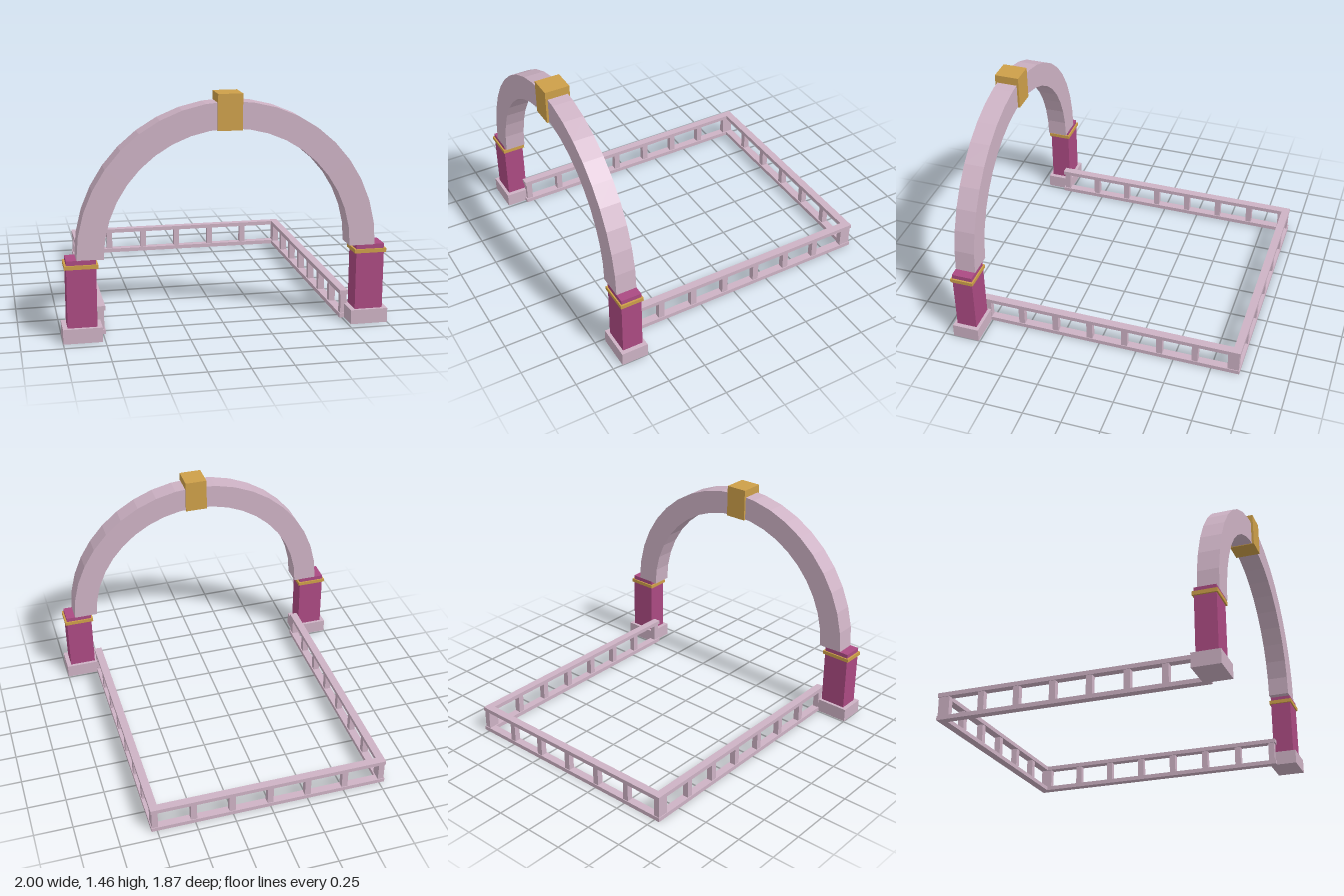
import * as THREE from 'three';

export function createModel() {
  const group = new THREE.Group();
  const mat = (name, color) => {
    const m = new THREE.MeshStandardMaterial({ color });
    m.name = name;
    return m;
  };
  const mauve = mat('pale mauve', 0xcdb2c4);
  const magenta = mat('magenta', 0xab4a82);
  const gold = mat('gold', 0xcd9f49);

  // Box given by its minimum and maximum corners
  const box = (name, material, [x0, y0, z0], [x1, y1, z1], parent = group) => {
    const mesh = new THREE.Mesh(new THREE.BoxGeometry(x1 - x0, y1 - y0, z1 - z0), material);
    mesh.position.set((x0 + x1) / 2, (y0 + y1) / 2, (z0 + z1) / 2);
    mesh.name = name;
    parent.add(mesh);
  };

  // Pillars: plinth, shaft and gold band
  for (const [side, s] of [['left', 1], ['right', -1]]) {
    const pillar = new THREE.Group();
    pillar.name = side + 'Pillar';
    pillar.position.set(s * 0.883, 0, 0.847);
    box('plinth', mauve, [-0.117, 0, -0.088], [0.117, 0.09, 0.088], pillar);
    box('shaft', magenta, [-0.088, 0.09, -0.067], [0.088, 0.502, 0.067], pillar);
    box('band', gold, [-0.1, 0.45, -0.076], [0.1, 0.474, 0.076], pillar);
    group.add(pillar);
  }

  // Faceted half-ring arch
  const shape = new THREE.Shape();
  shape.absarc(0, 0, 0.91, 0, Math.PI, false);
  shape.absarc(0, 0, 0.75, Math.PI, 0, true);
  const arch = new THREE.Mesh(
    new THREE.ExtrudeGeometry(shape, { depth: 0.134, bevelEnabled: false, curveSegments: 10 }), mauve);
  arch.position.set(0, 0.5, 0.78);
  arch.name = 'arch';
  group.add(arch);
  box('keystone', gold, [-0.074, 1.24, 0.767], [0.074, 1.457, 0.928]);

  // Low railing on three sides: bottom and top rails
  const fence = new THREE.Group();
  fence.name = 'railing';
  group.add(fence);
  for (const [label, y0, y1] of [['bottomRail', 0, 0.027], ['topRail', 0.15, 0.177]]) {
    box(label + 'Back', mauve, [-0.787, y0, -0.935], [0.787, y1, -0.883], fence);
    box(label + 'Left', mauve, [0.735, y0, -0.883], [0.787, y1, 0.805], fence);
    box(label + 'Right', mauve, [-0.787, y0, -0.883], [-0.735, y1, 0.805], fence);
  }

  // Posts between the rails
  const post = (x, z) => box('post', mauve, [x - 0.02, 0.027, z - 0.02], [x + 0.02, 0.15, z + 0.02], fence);
  for (let i = -3; i <= 3; i++) post(i * 0.254, -0.91);
  for (let i = 0; i < 8; i++) {
    const z = -0.876 + i * 0.236;
    post(0.762, z);
    post(-0.762, z);
  }
  return group;
}
